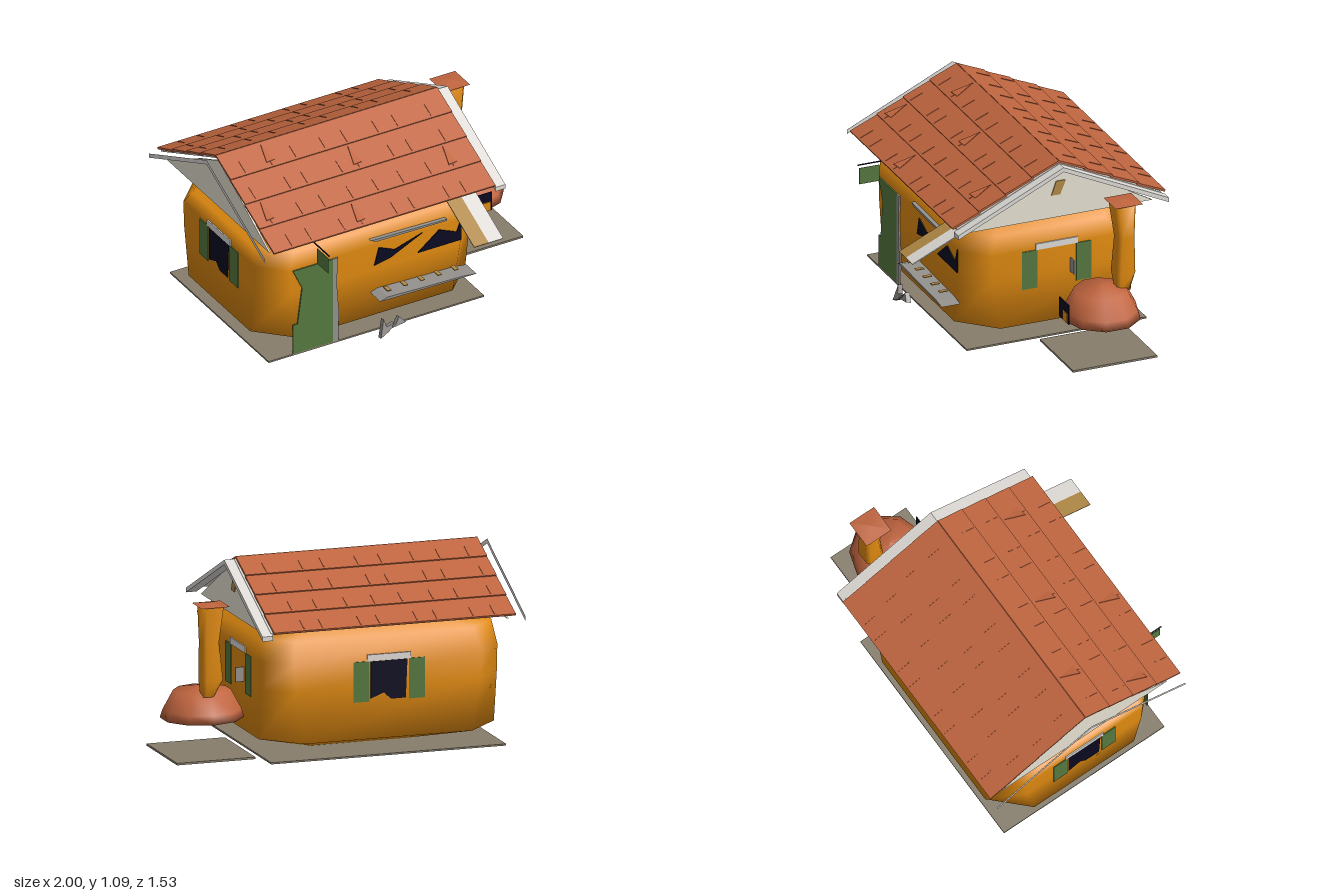
import * as THREE from 'three';

const mat = (name, color, double = false) => {
  const m = new THREE.MeshStandardMaterial({ color });
  m.name = name;
  if (double) m.side = THREE.DoubleSide;
  return m;
};

export function createModel() {
  const M = {
    plaster: mat('orange plaster', 0xe08a10),
    tile: mat('terracotta', 0xc0653f, true),
    cream: mat('cream', 0xf0eadb),
    trim: mat('pale trim', 0xdedbd6, true),
    green: mat('green paint', 0x55783f, true),
    dark: mat('dark glass', 0x0b0a20, true),
    ground: mat('ground', 0x867d6c, true),
    stone: mat('grey stone', 0x94918d, true),
    wood: mat('tan wood', 0xb08845, true),
  };
  const model = new THREE.Group();
  model.name = 'house';

  const add = (parent, name, geo, material, x = 0, y = 0, z = 0) => {
    const mesh = new THREE.Mesh(geo, material);
    mesh.name = name;
    mesh.position.set(x, y, z);
    parent.add(mesh);
    return mesh;
  };
  // box given by its limits
  const box = (parent, name, material, [x0, x1], [y0, y1], [z0, z1]) =>
    add(parent, name, new THREE.BoxGeometry(x1 - x0, y1 - y0, z1 - z0), material,
      (x0 + x1) / 2, (y0 + y1) / 2, (z0 + z1) / 2);
  const extrude = (pts, depth) => new THREE.ExtrudeGeometry(
    new THREE.Shape(pts.map(p => new THREE.Vector2(...p))), { depth, bevelEnabled: false });
  // closed solid through rings of equal point count, listed from the bottom up
  const loft = rings => {
    const n = rings[0].length, pos = rings.flat(2), idx = [];
    for (let r = 0; r < rings.length - 1; r++) for (let i = 0; i < n; i++) {
      const a = r * n + i, b = r * n + (i + 1) % n;
      idx.push(a, a + n, b, b, a + n, b + n);
    }
    const top = (rings.length - 1) * n;
    for (let i = 1; i < n - 1; i++) idx.push(0, i, i + 1, top, top + i + 1, top + i);
    const g = new THREE.BufferGeometry();
    g.setAttribute('position', new THREE.Float32BufferAttribute(pos, 3));
    g.setIndex(idx);
    g.computeVertexNormals();
    return g;
  };
  // rectangle with cut corners at height y
  const ring = (y, x0, x1, z0, z1, c) => [
    [x1, y, z0 + c], [x1, y, z1 - c], [x1 - c, y, z1], [x0 + c, y, z1],
    [x0, y, z1 - c], [x0, y, z0 + c], [x0 + c, y, z0], [x1 - c, y, z0]];

  // ground slabs
  box(model, 'houseSlab', M.ground, [-0.92, 0.49], [0, 0.01], [-0.655, 0.455]);
  box(model, 'ovenSlab', M.ground, [0.53, 1], [0, 0.012], [-0.5, 0.02]);

  // swollen plaster walls
  add(model, 'walls', loft([
    ring(0.011, -0.5, 0.22, -0.33, 0.07, 0.08),
    ring(0.1, -0.92, 0.49, -0.645, 0.445, 0.2),
    ring(0.4, -0.92, 0.49, -0.645, 0.445, 0.15),
    ring(0.56, -0.92, 0.49, -0.645, 0.445, 0.14),
    ring(0.68, -0.92, 0.49, -0.57, 0.445, 0.17),
    ring(0.78, -0.43, 0.24, -0.48, 0.23, 0.1),
  ]), M.plaster);

  // roof: cream end gables, pale underlay and rake boards
  const ridgeZ = -0.106, slope = 0.47;
  const roof = new THREE.Group();
  roof.name = 'roof';
  model.add(roof);
  const profile = (name, pts, x0, x1, material) => {
    const m = add(roof, name, extrude(pts, x1 - x0), material, x0, 0, ridgeZ);
    m.rotation.y = Math.PI / 2;
  };
  const gable = [[-0.575, 0.745], [0.575, 0.745], [0.2, 0.955], [0, 1.05], [-0.2, 0.955]];
  profile('leftGable', gable, -0.925, -0.915, M.cream);
  profile('rightGable', gable, 0.505, 0.515, M.cream);
  const chevron = (y, t, w) => [[-w, y - w * slope - t], [0, y - t], [w, y - w * slope - t],
    [w, y - w * slope], [0, y], [-w, y - w * slope]];
  profile('underlay', chevron(1.078, 0.01, 0.63), -0.93, 0.52, M.trim);
  profile('rightRakeBoard', chevron(1.075, 0.027, 0.65), 0.515, 0.578, M.trim);
  profile('leftRakeBoard', chevron(1.075, 0.027, 0.65), -1, -0.999, M.trim);

  // four overlapping tile rows on each slope, with seams and a few loose flakes
  const rowW = 0.163, x0 = -0.94, x1 = 0.51, tilt = Math.atan(slope) - 0.04;
  for (const s of [1, -1]) for (let i = 0; i < 4; i++) {
    const row = new THREE.Group();
    row.name = 'tileRow';
    const d = (i + 0.5) * rowW;
    row.position.set((x0 + x1) / 2, 1.088 - d * slope, ridgeZ + s * d);
    row.rotation.x = s * tilt;
    roof.add(row);
    const len = rowW / Math.cos(tilt) + 0.008;
    add(row, 'tiles', new THREE.BoxGeometry(x1 - x0, 0.012, len), M.tile);
    for (let k = 0; k < 8; k++) {
      const x = -0.62 + k * 0.17 + 0.03 * Math.sin(i * 5 + k * 3);
      add(row, 'tileSeam', new THREE.BoxGeometry(0.004, 0.004, len * 0.45), M.tile, x, 0.007, s * len * 0.2);
      if (s > 0 && (k * 2 + i) % 7 === 2) {
        const flake = add(row, 'looseTile', extrude([[-0.03, -0.06], [0.03, -0.05], [0, 0.07]], 0.004), M.tile, x, 0.009, 0);
        flake.rotation.set(-Math.PI / 2, 0.15, 0);
      }
    }
  }

  // gable vent
  const vent = add(model, 'gableVent', extrude(
    [[-0.025, 0.97], [0.035, 0.97], [0, 0.885], [-0.055, 0.885]], 0.005), M.wood, 0.515, 0, -0.11);
  vent.rotation.y = Math.PI / 2;

  // shuttered windows set flush in the right, left and back walls
  const shutteredWindow = (name, x, z, turn, glass) => {
    const g = new THREE.Group();
    g.name = name;
    g.position.set(x, 0.435, z);
    g.rotation.y = turn;
    model.add(g);
    for (const s of [-1, 1]) box(g, 'shutter', M.green, [s * 0.167 - 0.047, s * 0.167 + 0.047], [-0.117, 0.117], [-0.002, 0.005]);
    box(g, 'lintel', M.trim, [-0.13, 0.13], [0.117, 0.155], [-0.002, 0.007]);
    if (glass) add(g, 'glass', extrude(
      [[-0.11, -0.1], [-0.03, -0.07], [0.01, -0.11], [0.1, -0.11], [0.11, 0.115], [-0.11, 0.115]], 0.003), M.dark, 0, 0, 0.001);
  };
  shutteredWindow('rightWindow', 0.49, -0.1, Math.PI / 2, false);
  shutteredWindow('leftWindow', -0.92, -0.1, -Math.PI / 2, true);
  shutteredWindow('backWindow', -0.22, -0.645, Math.PI, true);
  box(model, 'rightBracket', M.stone, [0.49, 0.54], [0.38, 0.465], [-0.192, -0.184]);

  // front door with a crooked outline and stone jamb
  add(model, 'door', extrude([[-0.76, 0.01], [-0.5, 0.01], [-0.5, 0.56], [-0.76, 0.56],
    [-0.7, 0.43], [-0.73, 0.2], [-0.76, 0.2]], 0.008), M.green, 0, 0, 0.447);
  add(model, 'doorJamb', extrude([[-0.5, 0.01], [-0.465, 0.01], [-0.46, 0.2], [-0.475, 0.4],
    [-0.465, 0.56], [-0.5, 0.56]], 0.01), M.stone, 0, 0, 0.446);

  // hanging sign by the door
  box(model, 'signArm', M.dark, [-0.633, -0.627], [0.717, 0.723], [0.445, 0.64]);
  box(model, 'signBoard', M.green, [-0.631, -0.629], [0.6, 0.7], [0.505, 0.63]);

  // front window: broken panes, ledge, flower box
  add(model, 'rightPane', extrude([[0.06, 0.425], [0.345, 0.425], [0.345, 0.57], [0.315, 0.485], [0.2, 0.535]], 0.006), M.dark, 0, 0, 0.446);
  add(model, 'leftPane', extrude([[-0.225, 0.43], [-0.12, 0.45], [0.09, 0.55], [-0.09, 0.495], [-0.195, 0.54]], 0.006), M.dark, 0, 0, 0.446);
  add(model, 'frontLintel', extrude([[-0.26, 0.615], [-0.22, 0.598], [0.24, 0.594], [0.24, 0.604], [0, 0.61]], 0.03), M.stone, 0, 0, 0.44);
  add(model, 'flowerBox', extrude([[-0.25, 0.255], [0.38, 0.245], [0.3, 0.256], [0, 0.264], [-0.2, 0.272]], 0.115), M.stone, 0, 0, 0.445);
  for (let i = 0; i < 5; i++) box(model, 'flower', M.wood, [-0.185 + i * 0.11, -0.16 + i * 0.11], [0.287, 0.292], [0.48, 0.53]);

  // slanted awning, half wood and half pale
  for (const [x, m, name] of [[0.245, M.wood, 'awningWood'], [0.34, M.trim, 'awningPale']]) {
    const a = add(model, name, new THREE.BoxGeometry(0.095, 0.006, 0.34), m, x + 0.0475, 0.643, 0.61);
    a.rotation.x = 0.43;
  }

  // broken doorstep in two slanted pieces
  for (const pts of [
    [[-0.26, 0.02], [-0.2, 0.05], [-0.165, 0.09], [-0.215, 0.08], [-0.23, 0.13]],
    [[-0.2, 0.06], [-0.09, 0.075], [-0.13, 0.12], [-0.155, 0.08]]]) {
    const step = add(model, 'doorstep', extrude(pts, 0.03), M.stone, 0, 0, 0.56);
    step.rotation.x = -0.2;
  }

  // outdoor oven: dome, mouth, fire, chimney, cap
  const dome = [[0, 0.21], [0.241, 0.21], [0.225, 0.26], [0.165, 0.37], [0, 0.4]].map(p => new THREE.Vector2(...p));
  const domeGeo = new THREE.LatheGeometry(dome, 10);
  domeGeo.scale(1, 1, 0.93);
  add(model, 'ovenDome', domeGeo, M.tile, 0.765, 0, -0.257);
  box(model, 'ovenMouth', M.dark, [0.69, 0.825], [0.215, 0.335], [-0.034, -0.028]);
  box(model, 'ovenFire', M.plaster, [0.75, 0.81], [0.22, 0.275], [-0.03, -0.022]);
  add(model, 'chimney', loft([
    ring(0.36, 0.745, 0.81, -0.42, -0.34, 0.015),
    ring(0.46, 0.7, 0.822, -0.45, -0.335, 0.02),
    ring(0.68, 0.722, 0.822, -0.445, -0.345, 0.02),
    ring(0.89, 0.697, 0.822, -0.45, -0.323, 0.015),
  ]), M.plaster);
  const cap = new THREE.ConeGeometry(0.12, 0.018, 4);
  cap.rotateY(Math.PI / 4);
  add(model, 'chimneyCap', cap, M.tile, 0.76, 0.9, -0.395);

  return model;
}
